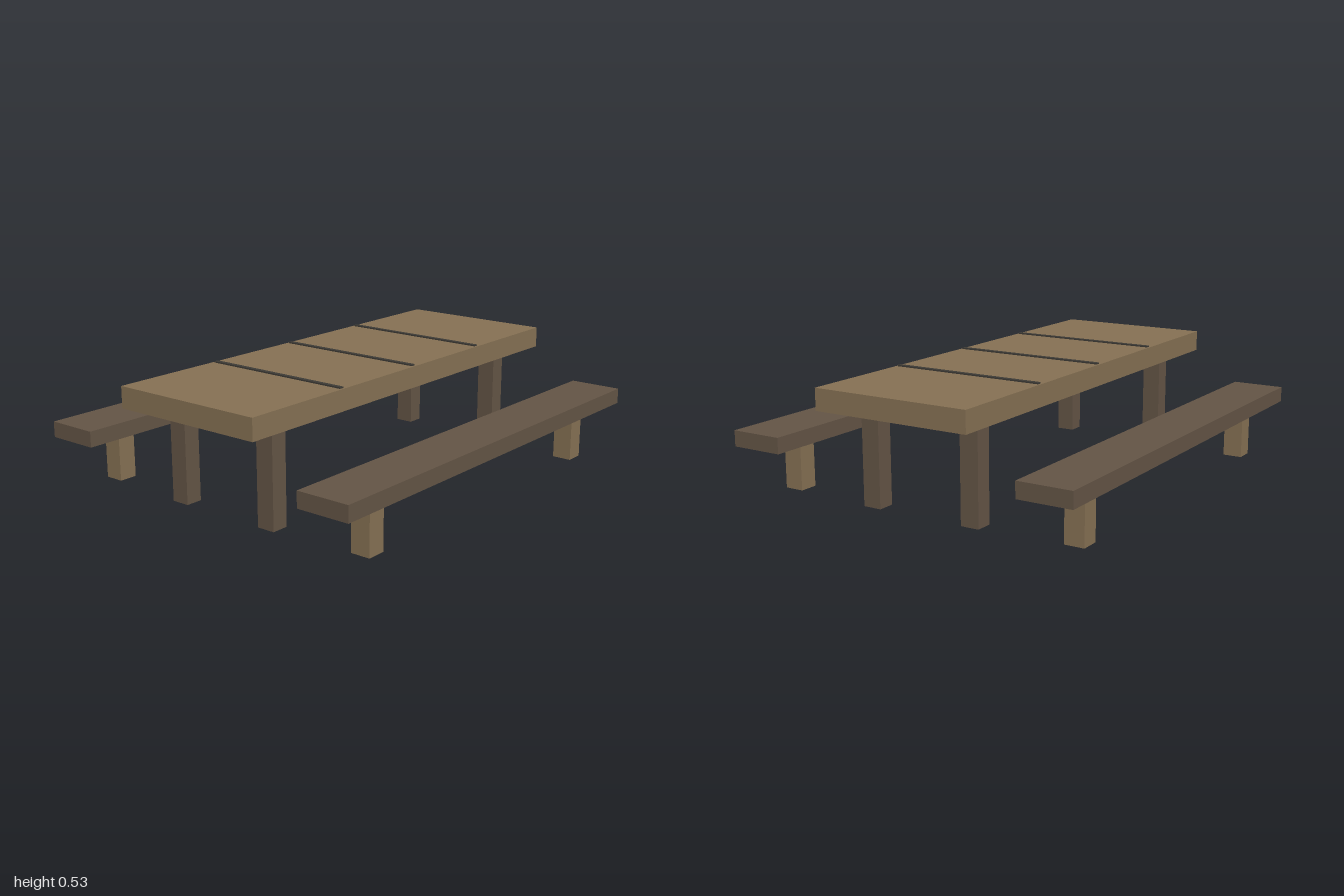
import * as THREE from 'three';

export function createModel() {
  const model = new THREE.Group();
  model.name = 'picnicTable';

  const lightWood = new THREE.MeshStandardMaterial({ color: 0x857053 });
  const darkWood = new THREE.MeshStandardMaterial({ color: 0x635445 });
  const grooveDark = new THREE.MeshStandardMaterial({ color: 0x3d3a35 });

  // Box placed by its centre in x and z, and its bottom and top heights
  function addBox(name, material, width, depth, bottom, top, x, z) {
    const mesh = new THREE.Mesh(new THREE.BoxGeometry(width, top - bottom, depth), material);
    mesh.name = name;
    mesh.position.set(x, (bottom + top) / 2, z);
    model.add(mesh);
  }

  // Table top with thin raised strips across it
  addBox('tableTop', lightWood, 2, 0.714, 0.427, 0.52, 0, 0);
  for (const x of [-0.478, 0, 0.478]) {
    addBox('plankSeam', grooveDark, 0.02, 0.696, 0.51, 0.526, x, 0);
  }

  for (const front of [1, -1]) {
    const side = front > 0 ? 'front' : 'back';
    addBox(side + 'BenchSeat', darkWood, 2, 0.238, 0.22, 0.289, 0, front * 0.687);

    // Legs at both ends of the table and bench
    for (const end of [1, -1]) {
      addBox(side + 'TableLeg', darkWood, 0.076, 0.083, 0, 0.427, end * 0.777, front * 0.24);
      addBox(side + 'BenchLeg', lightWood, 0.084, 0.087, 0, 0.22, end * 0.744, front * 0.689);
    }
  }
  return model;
}
